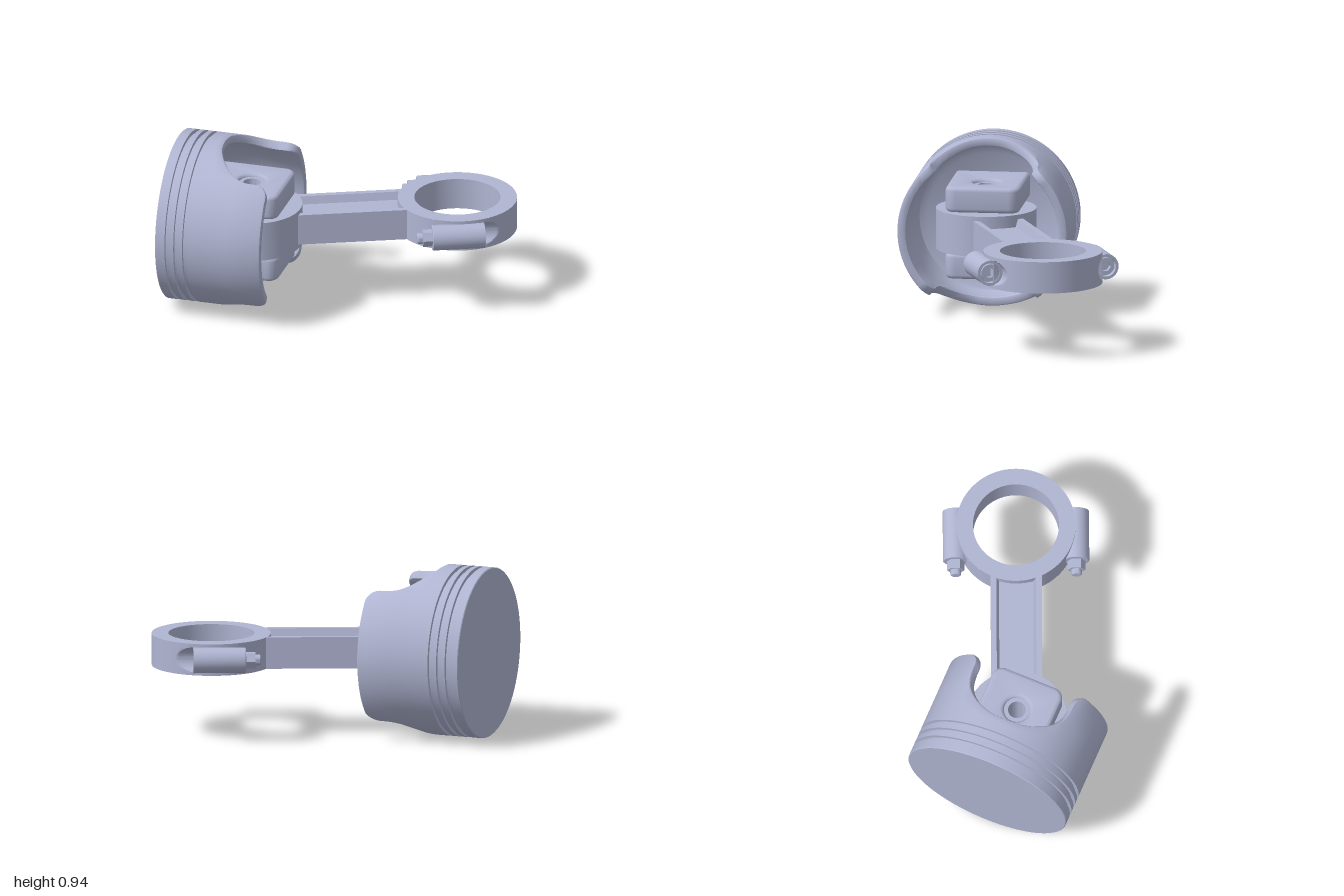
import * as THREE from 'three';
import { toCreasedNormals } from 'three/addons/utils/BufferGeometryUtils.js';

const steel = new THREE.MeshStandardMaterial({ color: 0xb0b5d2 });
steel.name = 'blue grey steel';

const V2 = (x, y) => new THREE.Vector2(x, y);
const pts = (list) => list.map(([x, y]) => V2(x, y));

function add(parent, name, geometry, crease = 0.6) {
  const mesh = new THREE.Mesh(toCreasedNormals(geometry, crease), steel);
  mesh.name = name;
  parent.add(mesh);
  return mesh;
}

const lathe = (list, segments = 64) => new THREE.LatheGeometry(pts(list), segments);
const tube = (ro, ri, h) => lathe([[ri, -h], [ro, -h], [ro, h], [ri, h], [ri, -h]]);

// Piston shell: a profile swept round the axis, its skirt length varying with the angle
function pistonShell() {
  const R = 0.468, Ri = 0.42, lip = 0.012;
  // skirt edge over a quarter turn: angle from the pin axis, distance from the crown
  const edge = new THREE.CatmullRomCurve3([
    [0, 0.268], [0.23, 0.28], [0.5, 0.345], [0.64, 0.42], [0.68, 0.485],
    [0.69, 0.55], [0.78, 0.59], [0.95, 0.595], [1.25, 0.595], [Math.PI / 2, 0.595],
  ].map(([t, a]) => new THREE.Vector3(t, a, 0))).getPoints(36);
  const quarter = edge.map((p) => [p.x, p.y]);
  const half = [...quarter, ...quarter.slice(0, -1).reverse().map(([t, e]) => [Math.PI - t, e])];
  const columns = [...half, ...half.slice(1).map(([t, e]) => [t + Math.PI, e])];

  const crown = [[0, 0], [R - 0.004, 0], [R, 0.004]];
  for (const a of [0.055, 0.105, 0.155]) {
    crown.push([R, a], [R - 0.02, a], [R - 0.02, a + 0.022], [R, a + 0.022]);
  }
  const profile = (e) => [
    ...crown, [R, 0.2], [R, (0.2 + e) / 2], [R, e - lip], [R - lip * 0.3, e - lip * 0.3], [R - lip, e],
    [Ri + lip, e], [Ri + lip * 0.3, e - lip * 0.3], [Ri, e - lip], [Ri, (0.2 + e) / 2], [Ri, 0.2],
    [Ri - 0.02, 0.158], [Ri - 0.06, 0.135], [0, 0.13],
  ];
  const positions = [], index = [];
  const rows = profile(0.5).length;
  columns.forEach(([t, e], c) => {
    profile(e).forEach(([r, a], j) => {
      positions.push(r * Math.sin(t), a, r * Math.cos(t));
      if (c < columns.length - 1 && j < rows - 1) {
        const k = c * rows + j;
        index.push(k, k + rows, k + rows + 1, k, k + rows + 1, k + 1);
      }
    });
  });
  const geometry = new THREE.BufferGeometry();
  geometry.setAttribute('position', new THREE.Float32BufferAttribute(positions, 3));
  geometry.setIndex(index);
  return geometry;
}

// Rounded block that carries the pin, with a chamfered hole
function pinBoss() {
  const w = 0.205, a0 = 0.09, a1 = 0.615, r = 0.06;
  const shape = new THREE.Shape();
  shape.moveTo(-w, a0);
  shape.lineTo(w, a0);
  shape.lineTo(w, a1 - r);
  shape.absarc(w - r, a1 - r, r, 0, Math.PI / 2);
  shape.absarc(-w + r, a1 - r, r, Math.PI / 2, Math.PI);
  shape.closePath();
  shape.holes.push(new THREE.Path().absarc(0, 0.417, 0.07, 0, Math.PI * 2, true));
  const bevel = 0.022;
  const geometry = new THREE.ExtrudeGeometry(shape, {
    depth: 0.14 - 2 * bevel, bevelThickness: bevel, bevelSize: bevel, bevelOffset: -bevel,
    bevelSegments: 4, curveSegments: 24,
  });
  return geometry.translate(0, 0, -0.07 + bevel);
}

// Big end: outer wall scooped out where the bolt heads need clearance
function bigEndWall(R, h, boltN, boltR, lugEnd) {
  const geometry = new THREE.CylinderGeometry(R, R, 2 * h, 192, 28, true);
  const p = geometry.attributes.position;
  for (let i = 0; i < p.count; i++) {
    const x = p.getX(i), y = p.getY(i), z = p.getZ(i);
    if (x < lugEnd || Math.abs(y) >= boltR) continue;
    const limit = boltN - Math.sqrt(boltR * boltR - y * y);
    const k = Math.min(1, limit / Math.abs(z));
    p.setXYZ(i, x * k, y, z * k);
  }
  return geometry;
}

// Bolt lug along x with a recessed socket head in front and a nut behind
function boltLug() {
  const lug = new THREE.Group();
  const turn = (g) => g.rotateZ(-Math.PI / 2);
  add(lug, 'lugBody', turn(lathe([[0, -0.18], [0.066, -0.18], [0.07, -0.176], [0.07, 0.108],
    [0.055, 0.108], [0.055, 0.07], [0, 0.07]], 40)));
  const head = new THREE.Shape().absarc(0, 0, 0.047, 0, Math.PI * 2);
  const socket = [];
  for (let i = 0; i < 6; i++) socket.push(V2(0.028 * Math.cos(-i * Math.PI / 3), 0.028 * Math.sin(-i * Math.PI / 3)));
  head.holes.push(new THREE.Path(socket));
  const headGeometry = new THREE.ExtrudeGeometry(head, { depth: 0.03, bevelEnabled: false, curveSegments: 32 });
  add(lug, 'boltHead', headGeometry.rotateY(Math.PI / 2).translate(0.07, 0, 0));
  add(lug, 'nut', turn(new THREE.CylinderGeometry(0.048, 0.048, 0.052, 6)).translate(-0.206, 0, 0), 0.3);
  add(lug, 'boltTip', turn(lathe([[0, -0.262], [0.024, -0.262], [0.03, -0.256], [0.03, -0.17]], 24)));
  return lug;
}

export function createModel() {
  const model = new THREE.Group();
  model.name = 'pistonAndRod';
  const midY = 0.47;

  // Piston, local y running from the crown to the open skirt
  const piston = new THREE.Group();
  piston.name = 'piston';
  const s = Math.SQRT1_2;
  const basis = new THREE.Matrix4().makeBasis(
    new THREE.Vector3(s, 0, -s), new THREE.Vector3(s, 0, s), new THREE.Vector3(0, -1, 0));
  piston.quaternion.setFromRotationMatrix(basis);
  piston.position.set(-0.67, midY, -0.4);
  add(piston, 'pistonShell', pistonShell());
  for (const side of [-1, 1]) add(piston, 'pinBoss', pinBoss()).position.z = side * 0.185;
  const pin = add(piston, 'wristPin', tube(0.0705, 0.048, 0.237).rotateX(Math.PI / 2));
  pin.position.y = 0.417;
  model.add(piston);

  // Connecting rod, local x running from the small end to the big end
  const rod = new THREE.Group();
  rod.name = 'connectingRod';
  rod.position.set(-0.375, midY, -0.105);
  rod.rotation.y = -Math.atan2(0.42, 1.049);
  model.add(rod);
  add(rod, 'smallEnd', tube(0.275, 0.07, 0.112));

  // Shank with an I-shaped section
  const quarter = [[0.14, 0.0875], [0.108, 0.0875], [0.094, 0.045]];
  const top = [...quarter, ...quarter.map(([x, y]) => [-x, y]).reverse()];
  const section = new THREE.Shape(pts([...top, ...top.map(([x, y]) => [-x, -y])]));
  const shank = new THREE.ExtrudeGeometry(section, { depth: 0.64, bevelEnabled: false });
  add(rod, 'shank', shank.rotateY(Math.PI / 2).translate(0.22, 0, 0), 0.3);

  // Big end with its two bolt lugs
  const bigEnd = new THREE.Group();
  bigEnd.name = 'bigEnd';
  bigEnd.position.x = 1.13;
  rod.add(bigEnd);
  const R = 0.326, ri = 0.235, h = 0.0875, boltN = 0.33;
  add(bigEnd, 'outerWall', bigEndWall(R, h, boltN, 0.07, 0.105));
  add(bigEnd, 'bore', lathe([[R, h], [ri, h], [ri, -h], [R, -h]], 96));
  for (const side of [-1, 1]) {
    const lug = boltLug();
    lug.name = 'boltLug';
    lug.position.z = side * boltN;
    bigEnd.add(lug);
  }
  return model;
}
